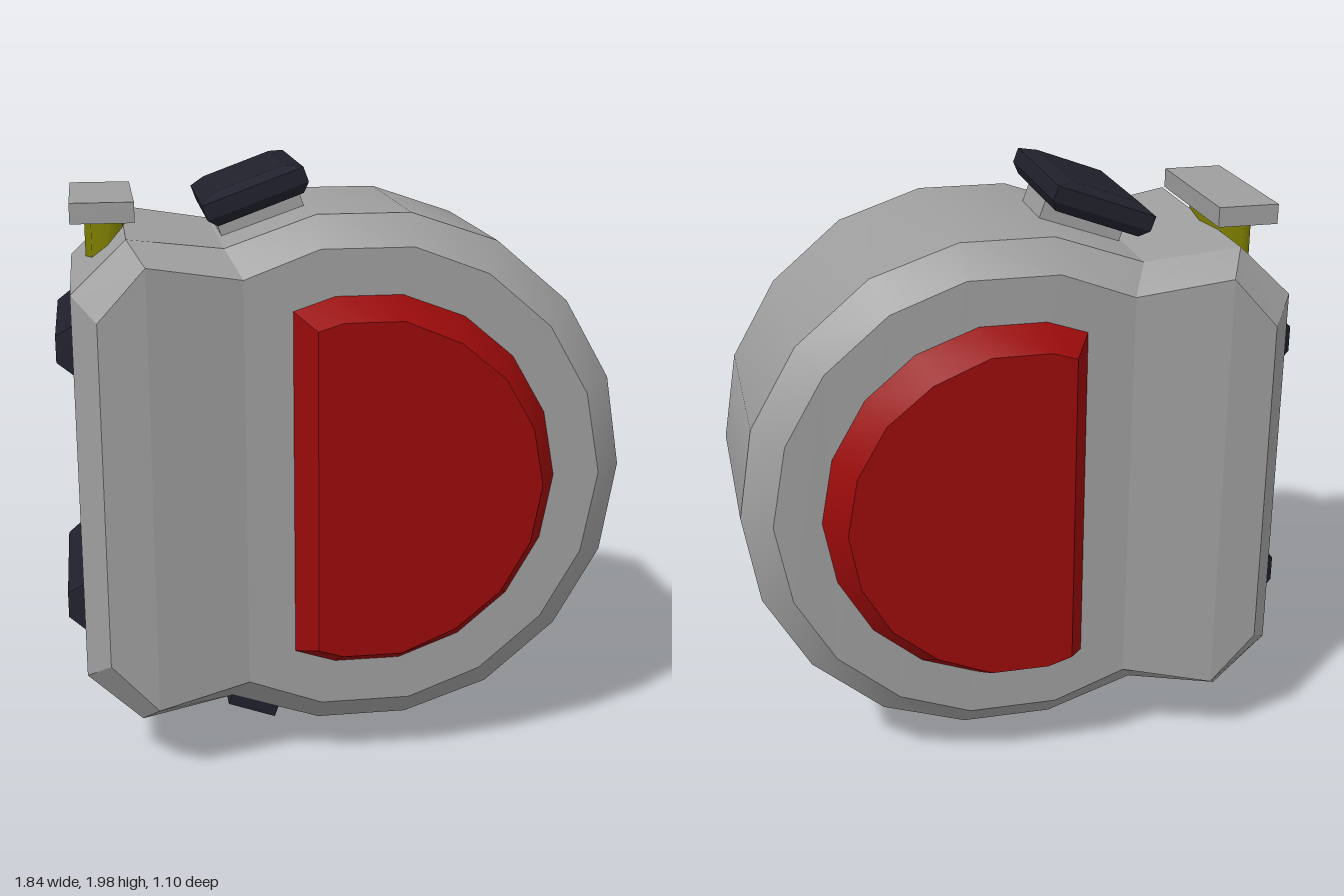
import * as THREE from 'three';
import { mergeGeometries, toCreasedNormals } from 'three/addons/utils/BufferGeometryUtils.js';

const material = (color) => new THREE.MeshStandardMaterial({ color });
const grey = material(0x9e9e9e), red = material(0x990a0a);
const dark = material(0x20202c), olive = material(0x808000);
const MID = 0.99; // height of the body's mirror line

// Joins rings of points (counter-clockwise, frontmost first) with smooth sides and flat caps.
function loft(rings) {
  const n = rings[0].length, last = (rings.length - 1) * n, sides = [], caps = [];
  const quad = (index, a, b, c, d) => {
    if (a !== b && b !== c && c !== a) index.push(a, b, c);
    if (a !== c && c !== d && d !== a) index.push(a, c, d);
  };
  for (let r = 0; r < last; r += n) {
    for (let i = 0; i < n; i++) {
      const j = (i + 1) % n;
      quad(sides, r + i, r + n + i, r + n + j, r + j);
    }
  }
  // Caps are strips running between opposite points of the ring.
  for (let i = 0; i < Math.floor(n / 2); i++) {
    const a = i, b = i + 1, c = n - 1 - i, d = (n - i) % n;
    quad(caps, a, b, c, d);
    quad(caps, last + d, last + c, last + b, last + a);
  }
  const shade = (index, crease) => {
    const geometry = new THREE.BufferGeometry();
    geometry.setAttribute('position', new THREE.Float32BufferAttribute(rings.flat(2), 3));
    geometry.setIndex(index);
    return toCreasedNormals(geometry, crease);
  };
  return mergeGeometries([shade(sides, 0.41), shade(caps, 0.05)]);
}

// Completes an upper half outline [x, y, z] by mirroring it below the mid line.
const closeRing = (half) =>
  [...half, ...half.slice(1).reverse().map(([x, y, z]) => [x, 2 * MID - y, z])];
const flipZ = (ring) => ring.map(([x, y, z]) => [x, y, -z]);

// Solid with a bevelled edge on both faces.
function doubleFaced(faceHalf, rimHalf) {
  const face = closeRing(faceHalf), rim = closeRing(rimHalf);
  return loft([face, rim, flipZ(rim), flipZ(face)]);
}

// Block with rectangular sections [width, depth, level], highest level first.
const block = (sections) => loft(sections.map(([w, d, z]) =>
  [[w / 2, -d / 2, z], [w / 2, d / 2, z], [-w / 2, d / 2, z], [-w / 2, -d / 2, z]]));

export function createModel() {
  const model = new THREE.Group();
  const add = (name, geometry, mat, x = 0, y = 0, z = 0, tilt = 0) => {
    const mesh = new THREE.Mesh(geometry, mat);
    mesh.name = name;
    mesh.position.set(x, y, z);
    mesh.rotation.z = tilt;
    model.add(mesh);
  };

  // Round case that flares into a thicker block at -x
  add('case', doubleFaced(
    [[0.82, MID, 0.435], [0.77, 1.26, 0.435], [0.64, 1.485, 0.435], [0.435, 1.66, 0.435],
      [0.195, 1.75, 0.435], [-0.1, 1.75, 0.435], [-0.34, 1.66, 0.435],
      [-0.64, 1.715, 0.493], [-0.79, 1.55, 0.493]],
    [[0.915, MID, 0.345], [0.865, 1.29, 0.345], [0.715, 1.55, 0.345], [0.48, 1.75, 0.345],
      [0.2, 1.845, 0.345], [-0.1, 1.845, 0.345], [-0.39, 1.745, 0.345],
      [-0.692, 1.787, 0.39], [-0.867, 1.62, 0.39]]), grey);

  // Raised D-shaped panels on both faces
  add('sidePanels', doubleFaced(
    [[0.6, MID, 0.548], [0.565, 1.18, 0.548], [0.47, 1.345, 0.548], [0.325, 1.465, 0.548],
      [0.145, 1.54, 0.548], [-0.045, 1.54, 0.548], [-0.125, 1.515, 0.548]],
    [[0.67, MID, 0.43], [0.63, 1.205, 0.43], [0.52, 1.395, 0.43], [0.36, 1.53, 0.43],
      [0.16, 1.605, 0.43], [-0.055, 1.605, 0.43], [-0.19, 1.56, 0.43]]), red);

  // Tilted button on its stem
  const TILT = 0.35;
  add('buttonStem', new THREE.BoxGeometry(0.285, 0.24, 0.225), grey, -0.225, 1.745, 0, TILT);
  add('button', block([[0.24, 0.44, 0.1], [0.34, 0.54, 0.08], [0.34, 0.54, 0.03], [0.29, 0.5, 0]])
    .rotateX(-Math.PI / 2), dark, -0.263, 1.85, 0, TILT);

  // Rear lever: flat plate on an oval post
  add('leverPlate', new THREE.BoxGeometry(0.2, 0.065, 0.545), grey, -0.76, 1.852);
  add('leverPost', new THREE.CylinderGeometry(1, 1, 0.24, 8).scale(0.071, 1, 0.22),
    olive, -0.745, 1.71, -0.05);

  // Two tapered grip bars on the rear
  for (const y of [1.433, 0.575]) {
    add('gripBar', block([[0.6, 0.085, 0.05], [0.66, 0.16, -0.005]]).rotateY(-Math.PI / 2),
      dark, -0.87, y);
  }

  // Hook under the case
  add('hook', new THREE.BoxGeometry(0.175, 0.26, 0.11), dark, -0.253, 0.155, 0, -TILT);

  return model;
}
